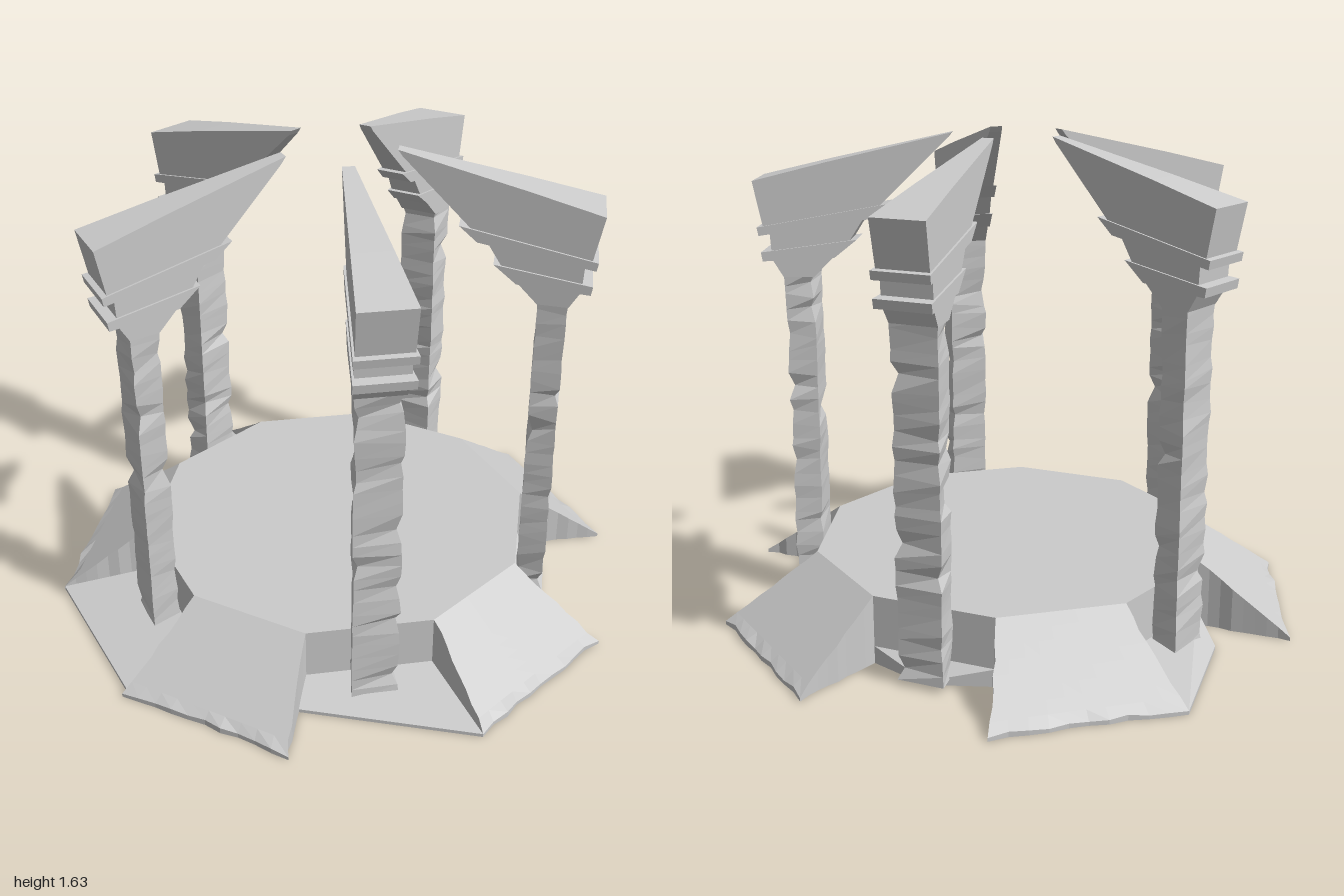
import * as THREE from 'three';
import { ConvexGeometry } from 'three/addons/geometries/ConvexGeometry.js';

const STONE = new THREE.MeshStandardMaterial({ color: 0xcccccc, flatShading: true });
const STEP = Math.PI / 5;
const R = 0.68, APOTHEM = R * Math.cos(STEP / 2), TOP = 0.235;

// repeatable value 0..1 for a grid position
function hash(a, b, c) {
  const s = Math.sin(a * 127.1 + b * 311.7 + c * 74.7) * 43758.5453;
  return s - Math.floor(s);
}

function part(parent, name, geometry) {
  const mesh = new THREE.Mesh(geometry, STONE);
  mesh.name = name;
  parent.add(mesh);
  return mesh;
}

// move every vertex of a geometry by a rule
function reshape(geometry, rule) {
  const p = geometry.attributes.position;
  for (let i = 0; i < p.count; i++) p.setXYZ(i, ...rule(p.getX(i), p.getY(i), p.getZ(i)));
  geometry.computeVertexNormals();
  return geometry;
}

// radial profile (r, y) given a thickness that narrows towards the centre
function wedge(points, extra = 0) {
  const shape = new THREE.Shape(points.map(([r, y]) => new THREE.Vector2(r, y)));
  const geo = new THREE.ExtrudeGeometry(shape, { depth: 2, bevelEnabled: false });
  return reshape(geo, (x, y, z) => [x, y, (z - 1) * (x * 0.105 + extra)]);
}

// column with worn corners
function columnGeometry(seed) {
  const rows = 26, y0 = 0.02, y1 = 1.18;
  return reshape(new THREE.BoxGeometry(2, 1, 2, 1, rows, 1), (x, y, z) => {
    const row = Math.round((y + 0.5) * rows);
    const h = hash(row, x * 3 + z, seed);
    const inner = row > 0 && row < rows;
    const wear = inner ? (h > 0.8 ? 0.02 : 0.006) * hash(row, z * 5 + x, seed + 9) : 0;
    const slip = inner ? (hash(row, x + z * 2, seed + 4) - 0.5) * 0.025 : 0;
    const r = 0.7 + x * (0.05 - wear);
    return [r, y0 + (y + 0.5) * (y1 - y0) + slip, z * (r * 0.105 - wear)];
  });
}

// sloping ramp with broken outer and side edges
function rampGeometry(seed) {
  const nu = 8, nw = 10;
  return reshape(new THREE.BoxGeometry(1, 1, 2, nu, 1, nw), (x, y, z) => {
    const u = x + 0.5, row = Math.round(u * nu), col = Math.round((z + 1) * nw / 2);
    const outer = row === nu && col > 0 && col < nw;
    const side = row > 0 && row < nu && Math.abs(z) > 0.99;
    const cut = outer ? 0.016 * hash(col, 1, seed) : 0;
    const nick = side ? 0.01 * hash(row, z, seed) : 0;
    const a = THREE.MathUtils.lerp(APOTHEM, 0.951, u) - cut;
    const half = a * Math.tan(STEP / 2) - nick;
    const height = THREE.MathUtils.lerp(TOP, 0.012, u) + (outer ? 0.01 * hash(col, 3, seed) : 0);
    return [a, (y + 0.5) * height, z * half];
  });
}

function pillar(index) {
  const group = new THREE.Group();
  group.name = 'pillar';
  part(group, 'column', columnGeometry(index + 1));
  // flared bracket under the mouldings
  part(group, 'bracket', wedge([
    [0.65, 1.16], [0.75, 1.16], [0.785, 1.22], [0.79, 1.31], [0.81, 1.34], [0.46, 1.39], [0.53, 1.28],
  ]));
  // two tilted mouldings
  part(group, 'lowerMoulding', wedge([[0.58, 1.225], [0.815, 1.215], [0.82, 1.245], [0.505, 1.285]], 0.007));
  part(group, 'upperMoulding', wedge([[0.45, 1.355], [0.825, 1.3], [0.83, 1.328], [0.39, 1.405]], 0.007));
  // broken arch stub reaching for the centre
  part(group, 'archStub', wedge([
    [0.44, 1.385], [0.81, 1.325], [0.84, 1.48], [0.6, 1.54], [0.19, 1.635], [0.205, 1.615],
  ]));
  group.rotation.y = -STEP * (2 * index + 1);
  return group;
}

// low footing: high against the platform wall, thin at the outer points
function footing(index, outer) {
  const a = STEP * (2 * index + 1), pts = [];
  for (const s of [-0.5, 0.5]) {
    const x = R * Math.cos(a + s * STEP), z = R * Math.sin(a + s * STEP);
    pts.push(new THREE.Vector3(x, 0, z), new THREE.Vector3(x, 0.06, z));
  }
  for (const [x, z] of outer) pts.push(new THREE.Vector3(x, 0, z), new THREE.Vector3(x, 0.012, z));
  return new ConvexGeometry(pts);
}

export function createModel() {
  const model = new THREE.Group();
  model.name = 'ruinedRotunda';

  // ten-sided platform
  part(model, 'platform', new THREE.CylinderGeometry(R, R, TOP, 10)).position.y = TOP / 2;

  // outer points of the broken footing in each gap between ramps
  const footings = [
    [[0.55, 0.49]],
    [[0, 1], [-0.49, 0.62]],
    [[-0.93, 0.31], [-0.95, -0.31]],
    [[-0.34, -0.72], [0, -1]],
    [[0.58, -0.42]],
  ];
  footings.forEach((outer, i) => {
    part(model, 'ramp', rampGeometry(i + 1)).rotation.y = -STEP * 2 * i;
    part(model, 'footing', footing(i, outer));
    model.add(pillar(i));
  });
  return model;
}
